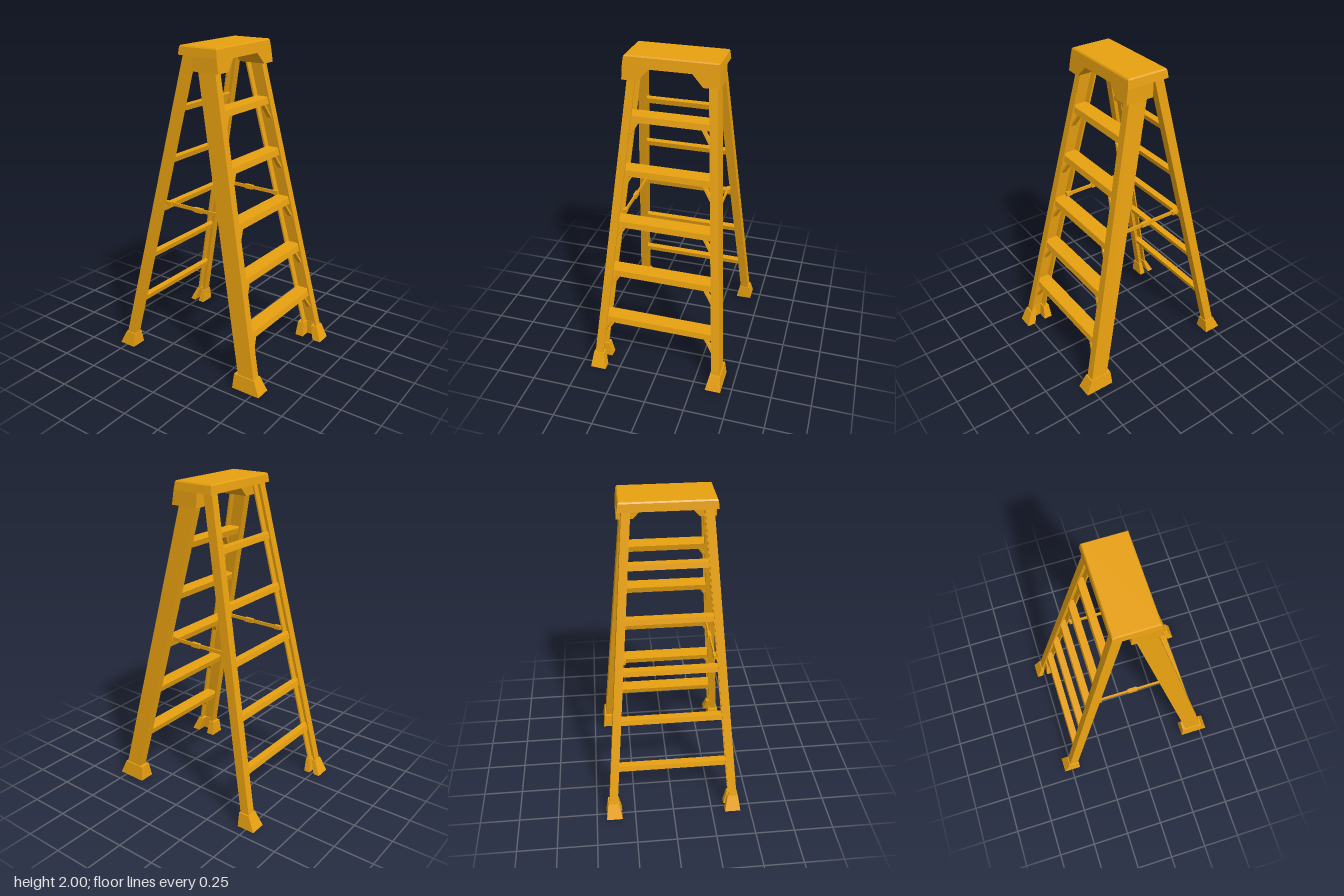
import * as THREE from 'three';

const mat = new THREE.MeshStandardMaterial({ color: 0xe8a010, flatShading: true });
const lerp = THREE.MathUtils.lerp;

// Footprints [x0, x1, z0, z1] of the +z rails at height y (z0 = inner side)
const lineRect = (a, ya, b, yb) => (y) => a.map((v, i) => lerp(v, b[i], (y - ya) / (yb - ya)));
const frontAt = lineRect([0.387, 0.5, 0.362, 0.415], 0.1, [0, 0.12, 0.215, 0.265], 1.86);
const backAt = lineRect([-0.505, -0.445, 0.362, 0.415], 0.09, [-0.115, -0.055, 0.207, 0.258], 1.94);

// Unit-square sections: solid, and a channel open toward the inner side
const SQUARE = [[0, 0], [0, 1], [1, 1], [1, 0]];
const channel = (u, v) => [[0, 0], [0, 1], [1, 1], [1, 0], [1 - u, 0], [1 - u, 1 - v], [u, 1 - v], [u, 0]];

// Loft a unit section from one footprint up to another; s mirrors it in z
function loft(name, section, r0, r1, y0, y1, s = 1) {
  const shape = new THREE.Shape(section.map(([u, v]) => new THREE.Vector2(u, -v * s)));
  const geo = new THREE.ExtrudeGeometry(shape, { depth: 1, bevelEnabled: false });
  geo.rotateX(-Math.PI / 2);
  const p = geo.attributes.position;
  for (let i = 0; i < p.count; i++) {
    const u = p.getX(i), t = p.getY(i), v = p.getZ(i) * s;
    const r = r0.map((a, k) => lerp(a, r1[k], t));
    p.setXYZ(i, lerp(r[0], r[1], u), lerp(y0, y1, t), s * lerp(r[2], r[3], v));
  }
  geo.computeVertexNormals();
  const mesh = new THREE.Mesh(geo, mat);
  mesh.name = name;
  return mesh;
}

function box(name, w, h, d, x, y, z) {
  const mesh = new THREE.Mesh(new THREE.BoxGeometry(w, h, d), mat);
  mesh.name = name;
  mesh.position.set(x, y, z);
  return mesh;
}

// Tread spanning between the two rails, leaning with them
function tread(name, at, y0, y1, inset) {
  const rect = (y) => {
    const [x0, x1, z0] = at(y);
    return [x0 + inset, x1 - inset, -z0 - 0.03, z0 + 0.03];
  };
  return loft(name, SQUARE, rect(y0), rect(y1), y0, y1);
}

// Diagonal strap from below a step down to the rail
function strut(yTop, s) {
  const yLow = yTop - 0.09;
  const rect = (y, z) => {
    const x1 = frontAt(y)[1] - 0.013;
    return [x1 - 0.03, x1, z - 0.008, z + 0.008];
  };
  return loft('stepBrace', SQUARE, rect(yLow, frontAt(yLow)[2] + 0.006),
    rect(yTop, frontAt(yTop)[2] - 0.042), yLow, yTop, s);
}

export function createModel() {
  const ladder = new THREE.Group();
  ladder.name = 'stepLadder';

  for (const s of [1, -1]) {
    // Channel rails
    ladder.add(loft('frontRail', channel(0.1, 0.22), frontAt(0.03), frontAt(1.9), 0.03, 1.9, s));
    ladder.add(loft('backRail', channel(0.18, 0.22), backAt(0.03), backAt(1.96), 0.03, 1.96, s));

    // Flared feet, notched on the inner side
    ladder.add(loft('frontFoot', channel(0.3, 0.35),
      [0.36, 0.55, 0.335, 0.435], [0.366, 0.51, 0.355, 0.423], 0, 0.095, s));
    ladder.add(loft('backFoot', channel(0.36, 0.35),
      [-0.555, -0.44, 0.335, 0.437], [-0.51, -0.44, 0.355, 0.423], 0, 0.092, s));

    // Folding spreader: two arms, a centre hinge and end brackets
    const spreader = new THREE.Group();
    spreader.name = 'spreader';
    const z = s * 0.276;
    spreader.add(
      box('frontArm', 0.22, 0.022, 0.01, 0.11, 1.025, z),
      box('backArm', 0.22, 0.022, 0.01, -0.11, 1.025, z),
      box('hinge', 0.06, 0.028, 0.022, 0, 1.025, z),
      box('backBracket', 0.045, 0.026, 0.024, -0.225, 1.025, z + s * 0.003),
      box('frontBracket', 0.04, 0.026, 0.024, 0.2, 1.025, z + s * 0.003),
    );
    ladder.add(spreader);
  }

  // Steps in front, rungs behind
  for (let i = 0; i < 5; i++) {
    const top = 0.355 + i * 0.3225;
    ladder.add(tread('step', frontAt, top - 0.037, top, 0.01));
    ladder.add(tread('rung', backAt, top - 0.035, top - 0.002, 0.008));
    for (const s of [1, -1]) ladder.add(strut(top - 0.034, s));
  }

  // Top cap: slab with a chamfered edge, over an arched front block
  const cap = new THREE.Group();
  cap.name = 'topCap';
  const low = [-0.13, 0.143, -0.283, 0.283], high = [-0.124, 0.136, -0.277, 0.277];
  cap.add(loft('capSlab', SQUARE, low, high, 1.945, 1.992));
  cap.add(loft('capEdge', SQUARE, high, [-0.118, 0.13, -0.271, 0.271], 1.992, 2));

  const arch = new THREE.Shape([
    [-0.286, 1.86], [-0.19, 1.86], [-0.125, 1.93], [0.125, 1.93], [0.19, 1.86], [0.286, 1.86],
    [0.283, 1.945], [-0.283, 1.945],
  ].map(([a, b]) => new THREE.Vector2(a, b)));
  const archGeo = new THREE.ExtrudeGeometry(arch, { depth: 1, bevelEnabled: false }).rotateY(Math.PI / 2);
  const p = archGeo.attributes.position;
  for (let i = 0; i < p.count; i++) {
    const front = lerp(0.155, 0.143, (p.getY(i) - 1.86) / 0.085);
    p.setX(i, lerp(-0.025, front, p.getX(i)));
  }
  archGeo.computeVertexNormals();
  const block = new THREE.Mesh(archGeo, mat);
  block.name = 'capArch';
  cap.add(block);
  ladder.add(cap);

  return ladder;
}
